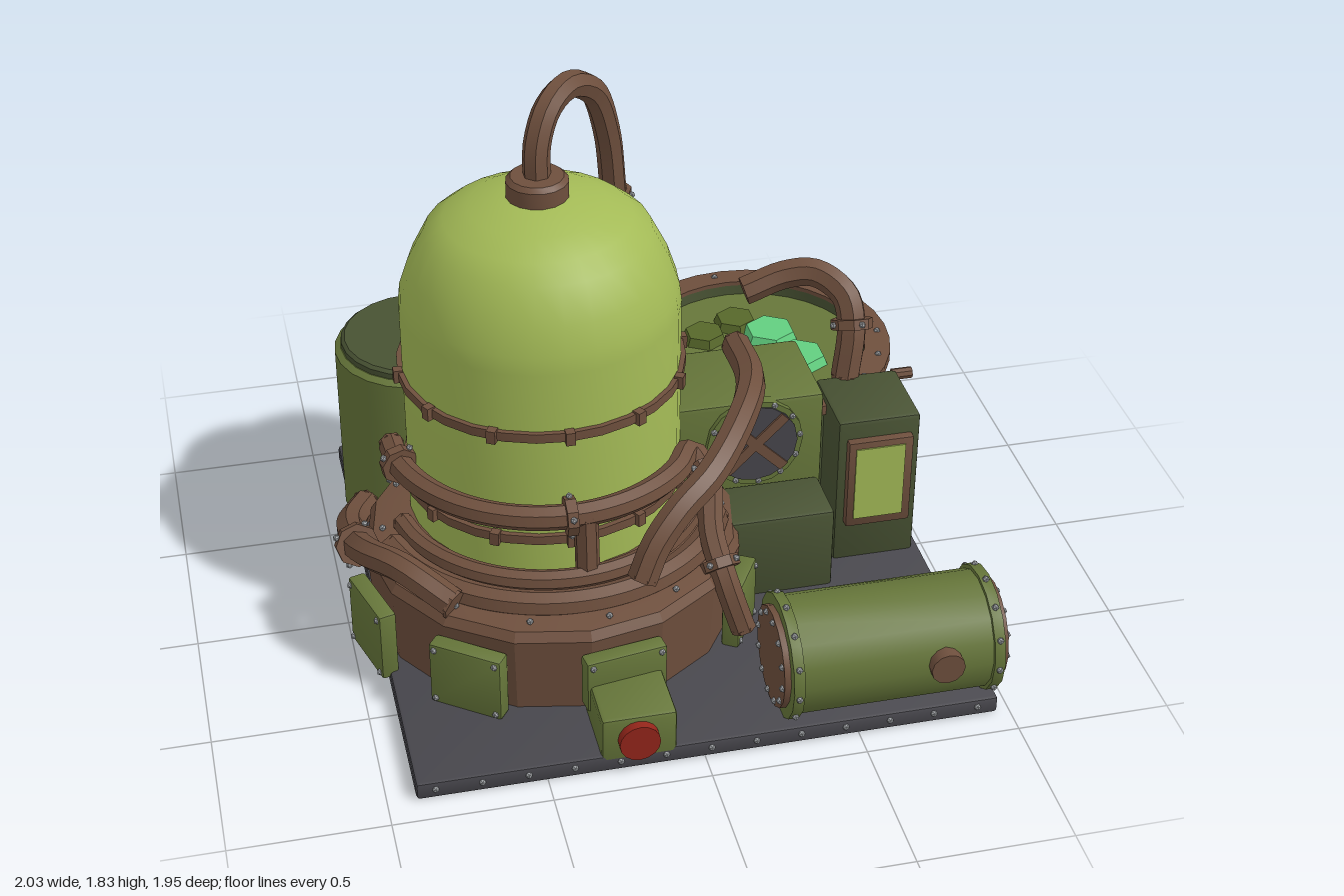
import * as THREE from 'three';
import { toCreasedNormals } from 'three/addons/utils/BufferGeometryUtils.js';
import { RoundedBoxGeometry } from 'three/addons/geometries/RoundedBoxGeometry.js';

const V = (x, y, z) => new THREE.Vector3(x, y, z);
const UP = V(0, 1, 0);

export function createModel() {
  const root = new THREE.Group();
  root.name = 'refinery';
  const mat = (name, color) => {
    const m = new THREE.MeshStandardMaterial({ color });
    m.name = name;
    return m;
  };
  const lime = mat('lime', 0xa3ba56), olive = mat('olive', 0x66763a), dark = mat('darkGreen', 0x485233),
    brown = mat('brown', 0x6e4f3d), slate = mat('slate', 0x47464c), steel = mat('steel', 0x9a9da0),
    mint = mat('mint', 0x62cf80), red = mat('red', 0x93251a), moss = mat('moss', 0x57682a);

  const add = (name, geo, m, x = 0, y = 0, z = 0, parent = root, crease = 0.6) => {
    const mesh = new THREE.Mesh(toCreasedNormals(geo, crease), m);
    mesh.name = name;
    mesh.position.set(x, y, z);
    parent.add(mesh);
    return mesh;
  };
  // Bevelled box from its limits
  const box = (name, m, [x0, x1], [y0, y1], [z0, z1], parent = root, bevel = 0.015) =>
    add(name, new RoundedBoxGeometry(x1 - x0, y1 - y0, z1 - z0, 1, bevel), m,
      (x0 + x1) / 2, (y0 + y1) / 2, (z0 + z1) / 2, parent);
  const lathe = (name, m, pts, x, z, sides, crease) =>
    add(name, new THREE.LatheGeometry(pts.map(p => new THREE.Vector2(...p)), sides), m, x, 0, z, root, crease);
  // Cylinder centred on a point, with its axis along a direction
  const disc = (name, m, r, len, pos, dir = UP, sides = 16, parent = root) => {
    const d = add(name, new THREE.CylinderGeometry(r, r, len, sides), m, pos.x, pos.y, pos.z, parent);
    d.quaternion.setFromUnitVectors(UP, dir.clone().normalize());
    return d;
  };
  const rivet = (pos, parent = root, r = 0.012) =>
    add('rivet', new THREE.IcosahedronGeometry(r, 0), steel, pos.x, pos.y, pos.z, parent, 0.1);
  // Ring of rivets; a and b span the plane of the ring
  const rivetRing = (c, a, b, r, n) => {
    for (let i = 0; i < n; i++) {
      const t = i / n * Math.PI * 2 + 0.1;
      rivet(c.clone().addScaledVector(a, r * Math.cos(t)).addScaledVector(b, r * Math.sin(t)));
    }
  };
  // Bolted collar around a pipe
  const collar = (pos, dir, r) => {
    const g = disc('pipeCollar', brown, r, 0.035, pos, dir, 8);
    for (let i = 0; i < 4; i++) {
      const t = i * Math.PI / 2 + 0.4;
      rivet(V(Math.cos(t) * r, 0, Math.sin(t) * r), g);
    }
  };
  // Capped pipe through points, with collars at the given fractions
  const pipe = (name, pts, r, collars = []) => {
    const curve = new THREE.CatmullRomCurve3(pts.map(p => V(...p)));
    add(name, new THREE.TubeGeometry(curve, pts.length * 4, r, 7, false), brown);
    for (const t of [0, 1]) disc(name + 'End', brown, r, 0.012, curve.getPointAt(t), curve.getTangentAt(t), 7);
    for (const t of collars) collar(curve.getPointAt(t), curve.getTangentAt(t), r + 0.022);
  };
  const arc = (cx, cz, r, y, a0, a1, n) => Array.from({ length: n }, (_, i) => {
    const a = THREE.MathUtils.degToRad(a0 + (a1 - a0) * i / (n - 1));
    return [cx + r * Math.sin(a), y, cz + r * Math.cos(a)];
  });
  const X = V(1, 0, 0), Z = V(0, 0, 1);

  // Base plate with bolts on the front edge
  box('basePlate', slate, [-0.91, 0.96], [0, 0.06], [-0.96, 0.91], root, 0.012);
  for (let i = 0; i < 13; i++) rivet(V(-0.85 + i * 0.145, 0.035, 0.91));

  // Drum under the dome
  lathe('drum', brown, [[0, 0.03], [0.6, 0.03], [0.62, 0.33], [0.6, 0.36], [0.5, 0.38], [0, 0.38]], -0.31, 0.06, 16, 0.3);
  rivetRing(V(-0.31, 0.375, 0.06), X, Z, 0.56, 14);

  // Domed vessel, hoops and neck
  const cx = -0.31, cz = -0.09;
  lathe('dome', lime, [[0.45, 0.34], [0.452, 1.12], [0.445, 1.18], [0.415, 1.27], [0.36, 1.38], [0.3, 1.43],
    [0.22, 1.47], [0.12, 1.5], [0, 1.51]], cx, cz, 28, 0.9);
  for (const y of [0.51, 0.9]) {
    lathe('domeHoop', brown, [[0.44, y - 0.016], [0.468, y - 0.016], [0.468, y + 0.016], [0.44, y + 0.016]], cx, cz, 28, 0.5);
    for (let i = 0; i < 12; i++) {
      const a = i / 12 * Math.PI * 2;
      add('hoopClamp', new THREE.BoxGeometry(0.03, 0.045, 0.03), brown,
        cx + 0.467 * Math.sin(a), y, cz + 0.467 * Math.cos(a)).rotation.y = a;
    }
  }
  lathe('domeNeck', brown, [[0.1, 1.47], [0.1, 1.555], [0.085, 1.57], [0, 1.57]], cx, cz, 16, 0.5);
  pipe('topPipe', [[cx, 1.53, cz], [-0.305, 1.66, -0.11], [-0.26, 1.76, -0.16], [-0.18, 1.79, -0.24],
    [-0.09, 1.73, -0.31], [-0.03, 1.55, -0.36], [-0.005, 1.32, -0.38]], 0.045);
  collar(V(-0.005, 1.31, -0.38), UP, 0.06);
  add('nozzle', new THREE.CylinderGeometry(0.03, 0.018, 0.25, 7), brown, 0, 1.18, -0.395);
  disc('nozzleFlange', brown, 0.035, 0.03, V(0, 1.05, -0.4), UP, 8);

  // Pipes wrapped around the vessel
  pipe('ringPipe', [...arc(cx, cz, 0.5, 0.625, -92, 62, 12), [0.17, 0.57, 0.23], [0.15, 0.45, 0.37],
    [0.17, 0.34, 0.48], [0.22, 0.17, 0.52]], 0.042, [0.06, 0.4, 0.72, 0.88]);
  pipe('ringBranch', [[-0.27, 0.62, 0.41], [-0.27, 0.5, 0.42], [-0.27, 0.36, 0.43]], 0.04);
  pipe('lowerRingPipe', arc(cx, -0.02, 0.56, 0.385, -75, 68, 12), 0.045);
  pipe('lowerInnerPipe', arc(cx, -0.05, 0.5, 0.41, -80, 75, 12), 0.035);
  pipe('leftPipe', [[-0.88, 0.18, -0.41], [-0.95, 0.26, -0.2], [-0.96, 0.36, 0.05], [-0.93, 0.42, 0.2],
    [-0.85, 0.45, 0.33], [-0.71, 0.39, 0.47]], 0.05, [0.5]);
  pipe('bridgePipe', [[-0.11, 0.42, 0.51], [-0.06, 0.52, 0.48], [0.03, 0.61, 0.43], [0.14, 0.67, 0.36], [0.27, 0.73, 0.2],
    [0.37, 0.755, 0], [0.41, 0.69, -0.34]], 0.05);
  pipe('tankPipe', [[0.46, 0.855, -0.42], [0.6, 0.9, -0.42], [0.7, 0.91, -0.39], [0.78, 0.86, -0.31],
    [0.79, 0.77, -0.25], [0.76, 0.6, -0.2]], 0.05, [0.72]);

  // Plates bolted to the drum
  for (const [x, z, w, y0, y1] of [[-0.685, 0.575, 0.25, 0.06, 0.29], [-0.94, 0.24, 0.25, 0.04, 0.29],
    [0.24, 0.39, 0.2, 0.06, 0.29], [-0.21, 0.69, 0.27, 0.1, 0.29]]) {
    const g = new THREE.Group();
    g.name = 'drumPlate';
    g.position.set(x, (y0 + y1) / 2, z);
    g.rotation.y = Math.atan2(x + 0.31, z - 0.06);
    root.add(g);
    const h = (y1 - y0) / 2;
    box('plate', olive, [-w / 2, w / 2], [-h, h], [-0.03, 0.03], g, 0.01);
    for (const s of [-1, 1]) for (const t of [-1, 1]) rivet(V(s * (w / 2 - 0.02), t * (h - 0.02), 0.03), g);
  }

  // Front control box with red button
  box('controlBox', olive, [-0.33, -0.09], [0.01, 0.2], [0.66, 0.91]);
  disc('redButton', red, 0.065, 0.04, V(-0.215, 0.12, 0.92), Z, 16);

  // Open tank with rim, liquid and floating crystals
  const tx = 0.52, tz = -0.505;
  lathe('tankWall', dark, [[0, 0.04], [0.45, 0.04], [0.45, 0.57], [0.385, 0.585], [0.38, 0.53]], tx, tz, 32, 0.5);
  lathe('tankRim', brown, [[0.45, 0.56], [0.474, 0.56], [0.474, 0.595], [0.385, 0.6], [0.385, 0.56]], tx, tz, 32, 0.5);
  rivetRing(V(tx, 0.598, tz), X, Z, 0.435, 18);
  disc('liquid', olive, 0.382, 0.02, V(tx, 0.54, tz), UP, 32);
  for (const [x, z, m, r] of [[0.37, -0.615, moss, 0.08], [0.5, -0.685, moss, 0.08], [0.41, -0.42, moss, 0.08],
    [0.6, -0.585, mint, 0.1], [0.66, -0.41, mint, 0.1], [0.6, -0.32, mint, 0.08]])
    add('crystal', new THREE.CylinderGeometry(r * 0.85, r, 0.035, 6), m, x, 0.565, z);

  // Rear silo with lid
  lathe('silo', olive, [[0, 0.01], [0.285, 0.01], [0.285, 0.635], [0.265, 0.65], [0, 0.65]], -0.635, -0.68, 24, 0.5);
  lathe('siloLid', dark, [[0.262, 0.64], [0.262, 0.67], [0.25, 0.68], [0, 0.68]], -0.635, -0.68, 24, 0.5);

  // Pump housing with a crossed hatch
  box('pumpHousing', olive, [0.12, 0.625], [0.05, 0.68], [-0.35, 0]);
  disc('hatchRing', olive, 0.165, 0.04, V(0.385, 0.53, 0), Z, 16);
  disc('hatch', slate, 0.145, 0.02, V(0.385, 0.53, 0.015), Z, 16);
  for (const s of [-1, 1])
    add('hatchBar', new THREE.BoxGeometry(0.28, 0.035, 0.012), brown, 0.385, 0.53, 0.027).rotation.z = s * Math.PI / 4;
  rivetRing(V(0.385, 0.53, 0.02), X, UP, 0.155, 12);
  box('pumpStep', dark, [0.17, 0.61], [0.05, 0.36], [0.01, 0.225]);

  // Cabinet with framed screen
  box('cabinet', dark, [0.65, 0.935], [0.05, 0.615], [-0.19, 0.095]);
  box('screenFrame', brown, [0.68, 0.905], [0.21, 0.55], [0.09, 0.125], root, 0.008);
  add('screen', new THREE.BoxGeometry(0.17, 0.28, 0.008), lime, 0.79, 0.385, 0.126);
  disc('cabinetPort', brown, 0.02, 0.07, V(0.96, 0.585, -0.2), X, 8);

  // Horizontal tank
  const hy = 0.235, hz = 0.755;
  disc('sideTank', olive, 0.19, 0.66, V(0.61, hy, hz), X, 16);
  for (const x of [0.285, 0.935]) {
    disc('tankFlange', olive, 0.203, 0.035, V(x, hy, hz), X, 16);
    rivetRing(V(x, hy, hz), UP, Z, 0.203, 12);
  }
  for (const [x, s] of [[0.96, 1], [0.262, -1]]) {
    disc('tankEnd', brown, 0.165, 0.03, V(x, hy, hz), X, 16);
    rivetRing(V(x + s * 0.017, hy, hz), UP, Z, 0.145, 12);
  }
  disc('tankPort', brown, 0.055, 0.08, V(0.76, 0.26, 0.93), Z, 12);

  return root;
}
